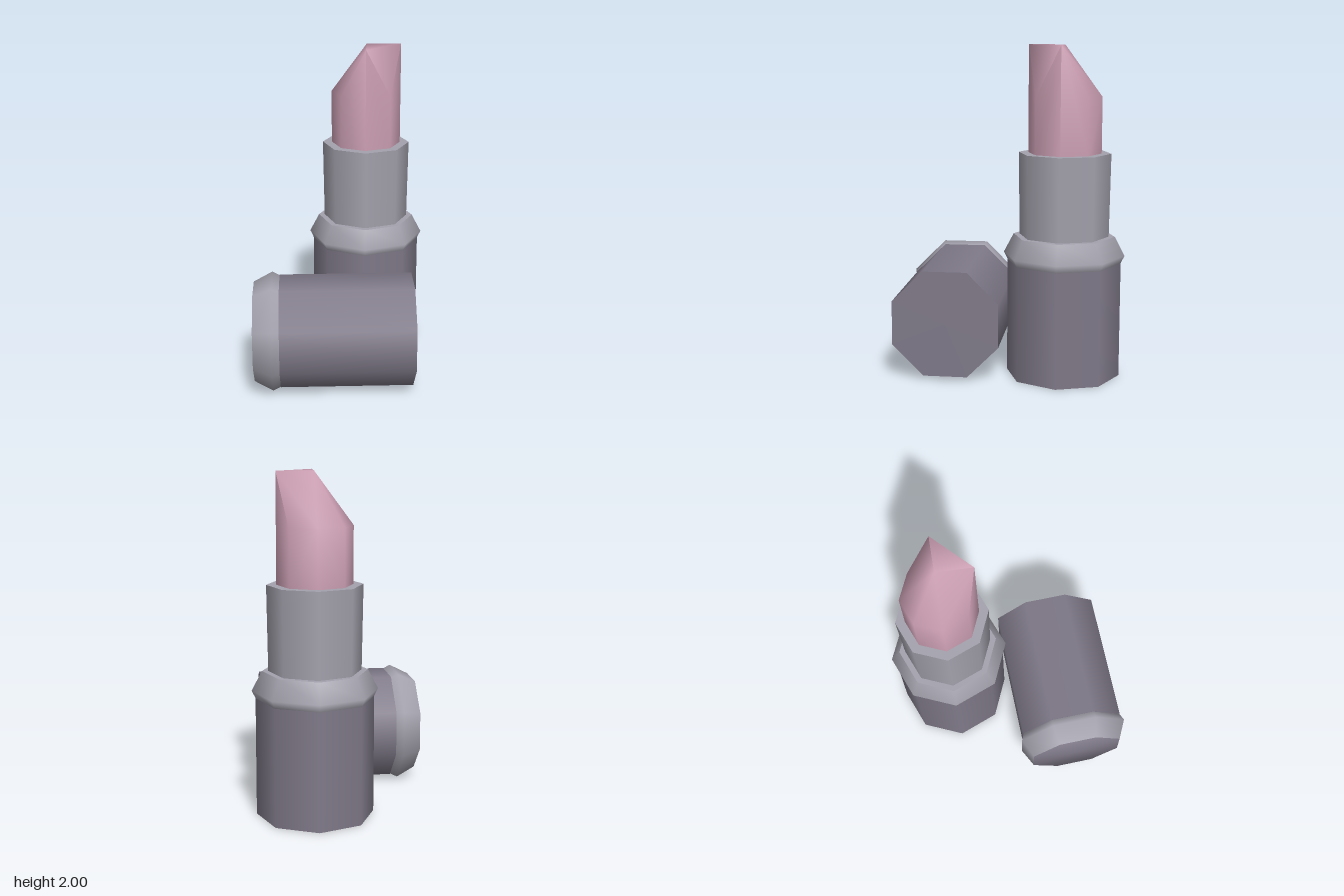
import * as THREE from 'three';
import { toCreasedNormals } from 'three/addons/utils/BufferGeometryUtils.js';
import { ConvexGeometry } from 'three/addons/geometries/ConvexGeometry.js';

const SIDES = 8;

function mat(name, color) {
  const m = new THREE.MeshStandardMaterial({ color });
  m.name = name;
  return m;
}

function add(parent, name, geometry, material) {
  const mesh = new THREE.Mesh(geometry, material);
  mesh.name = name;
  parent.add(mesh);
  return mesh;
}

// Eight-sided closed tube standing between two heights
function prism(rTop, rBottom, y0, y1) {
  return new THREE.CylinderGeometry(rTop, rBottom, y1 - y0, SIDES).translate(0, (y0 + y1) / 2, 0);
}

function lathe(points) {
  return new THREE.LatheGeometry(points.map(([r, y]) => new THREE.Vector2(r, y)), SIDES);
}

// Flared collar that sits on top of a tube ending at height y
function collar(y) {
  return lathe([[0.345, y], [0.367, y + 0.045], [0.307, y + 0.16]]);
}

// Flat end whose normals lean outwards so it blends softly into the collar
function softDisc(y) {
  const geo = lathe([[0.307, y], [0, y]]);
  const p = geo.attributes.position;
  const n = new THREE.Vector3();
  for (let i = 0; i < p.count; i++) {
    n.set(p.getX(i) * 2.2, 1, p.getZ(i) * 2.2).normalize();
    geo.attributes.normal.setXYZ(i, n.x, n.y, n.z);
  }
  return geo;
}

// Octagonal stick, cut at a slant to a small triangular tip
function stickGeometry() {
  const r = 0.22;
  const k = r * Math.SQRT1_2;
  const points = [
    new THREE.Vector3(-k, 2, k),
    new THREE.Vector3(k, 2, k),
    new THREE.Vector3(0, 2, 0.005),
  ];
  for (let i = 0; i < SIDES; i++) {
    const a = (i / SIDES) * Math.PI * 2;
    for (const y of [1.34, 1.695]) points.push(new THREE.Vector3(r * Math.sin(a), y, r * Math.cos(a)));
  }
  return toCreasedNormals(new ConvexGeometry(points), 1.4);
}

export function createModel() {
  const casing = mat('casing purple grey', 0x807a89);
  const metal = mat('light grey metal', 0xa4a2ad);
  const pink = mat('pink', 0xcda0b4);
  const model = new THREE.Group();
  model.name = 'lipstick with cap';

  // Standing tube
  const tube = new THREE.Group();
  tube.name = 'tube';
  tube.position.set(0.405, 0, -0.282);
  add(tube, 'base', prism(0.345, 0.345, 0, 0.7), casing);
  add(tube, 'baseCollar', collar(0.7), metal);
  add(tube, 'collarTop', lathe([[0.307, 0.86], [0.2, 0.86]]), metal);
  add(tube, 'sleeve', prism(0.278, 0.27, 0.85, 1.36), metal);
  add(tube, 'stick', stickGeometry(), pink);
  model.add(tube);

  // Cap lying on its side, pointing to the back right
  const cap = new THREE.Group();
  cap.name = 'cap';
  cap.position.set(0.14, 0.346, 0.405);
  cap.rotation.set(-Math.PI / 2, 0.843, 0, 'YXZ');
  const parts = [
    add(cap, 'capBody', prism(0.348, 0.348, 0, 0.82), casing),
    add(cap, 'capCollar', collar(0.82), metal),
    add(cap, 'capEnd', softDisc(0.98), casing),
  ];
  // Turn a flat side to the ground
  for (const part of parts) part.rotation.y = Math.PI / SIDES;
  model.add(cap);

  return model;
}
